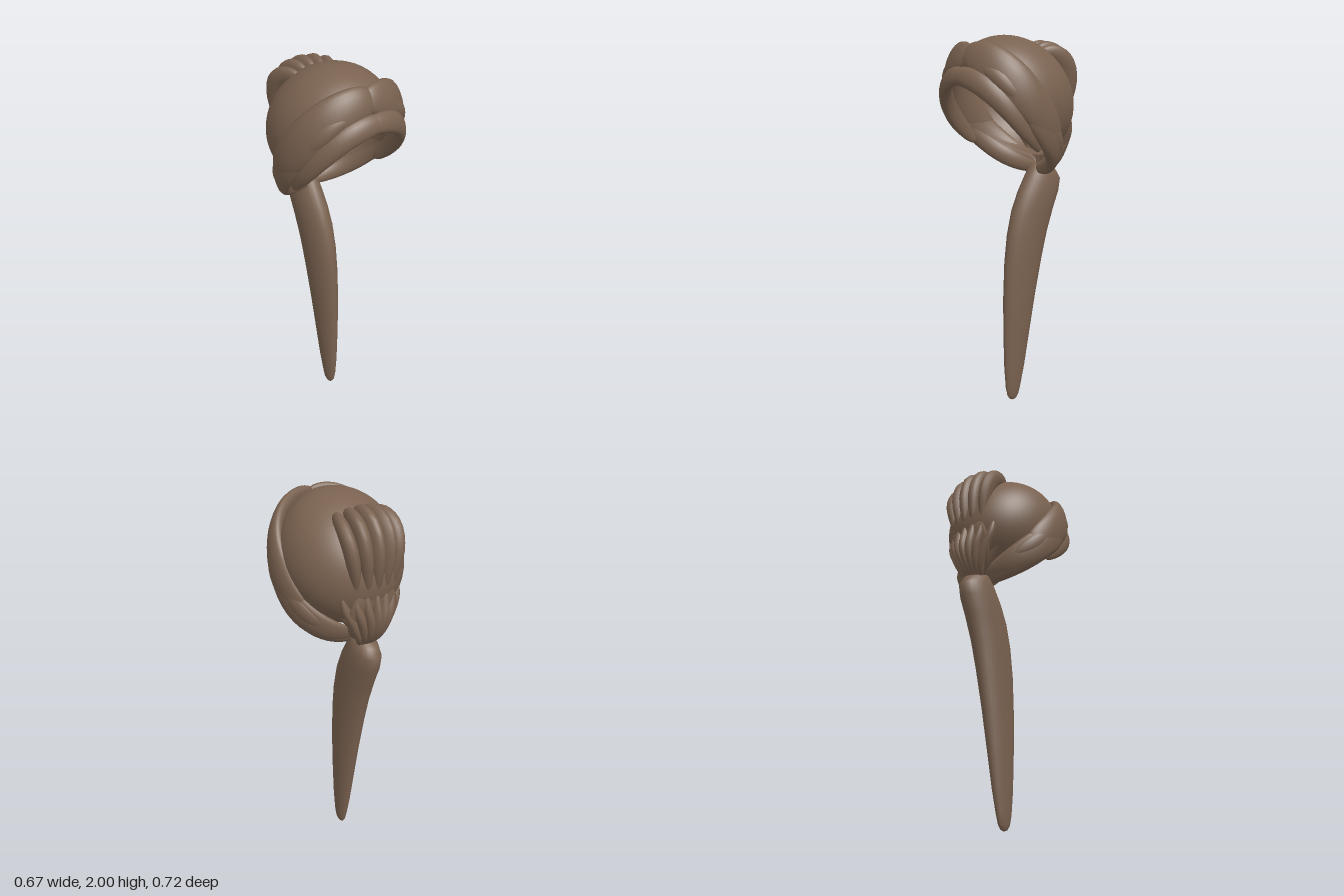
import * as THREE from 'three';

const V = (x, y, z) => new THREE.Vector3(x, y, z);
const CENTER = V(0, 1.68, 0.0);
const TILT = 0.69;                                   // backward lean of the cap axis
const UP = V(0, Math.cos(TILT), -Math.sin(TILT));    // cap axis
const FWD = V(0, Math.sin(TILT), Math.cos(TILT));    // cap front direction

// Closed loft through elliptical rings {c, a, b}: centre and two half-axis vectors
function loft(rings, sides = 14) {
  const pos = [], idx = [];
  for (const { c, a, b } of rings)
    for (let j = 0; j < sides; j++) {
      const t = (j / sides) * Math.PI * 2;
      const p = c.clone().addScaledVector(a, Math.cos(t)).addScaledVector(b, Math.sin(t));
      pos.push(p.x, p.y, p.z);
    }
  const m = Math.floor(rings.length / 2);
  const dir = rings[m + 1].c.clone().sub(rings[m - 1].c);
  const flip = rings[m].a.clone().cross(rings[m].b).dot(dir) < 0;
  const tri = (p, q, r) => (flip ? idx.push(p, r, q) : idx.push(p, q, r));
  for (let i = 0; i < rings.length - 1; i++)
    for (let j = 0; j < sides; j++) {
      const k = (j + 1) % sides, p = i * sides, q = p + sides;
      tri(p + j, p + k, q + k);
      tri(p + j, q + k, q + j);
    }
  const last = (rings.length - 1) * sides;
  for (let j = 1; j < sides - 1; j++) {
    tri(0, j + 1, j);
    tri(last, last + j, last + j + 1);
  }
  const g = new THREE.BufferGeometry();
  g.setAttribute('position', new THREE.Float32BufferAttribute(pos, 3));
  g.setIndex(idx);
  g.computeVertexNormals();
  return g;
}

// Rounded-end taper along 0..1; a small power gives blunt ends
const bulge = (s, power) => Math.pow(Math.max(0.0005, Math.sin(Math.PI * s)), power);

// Lock following a path, lying flat against the cap; start and end tapers may differ
function strand(points, width, thick, startPower, endPower = startPower) {
  const curve = new THREE.CatmullRomCurve3(points), rings = [], n = 24;
  for (let i = 0; i <= n; i++) {
    const s = (1 - Math.cos((Math.PI * i) / n)) / 2;
    const c = curve.getPoint(s), t = curve.getTangent(s);
    const out = c.clone().sub(CENTER);
    out.addScaledVector(t, -out.dot(t)).normalize();
    const k = bulge(s, s < 0.5 ? startPower : endPower);
    rings.push({ c, a: t.cross(out).normalize().multiplyScalar(width * k), b: out.multiplyScalar(thick * k) });
  }
  return loft(rings);
}

// Lock rolled around the cap rim, from angle p0 to p1 (0 = front, PI = back)
function rimLock(side, p0, p1, drop, out, width, thick, power) {
  const rings = [], n = 36;
  for (let i = 0; i <= n; i++) {
    const s = (1 - Math.cos((Math.PI * i) / n)) / 2, p = p0 + (p1 - p0) * s;
    const f = Math.cos(p), front = Math.max(0, f) ** 2;
    const r = 0.3 + 0.06 * f * f + out;
    const h = -0.095 + 0.035 * f + 0.04 * front - drop;
    const radial = V(side * Math.sin(p), 0, 0).addScaledVector(FWD, f);
    const c = CENTER.clone().addScaledVector(radial, r).addScaledVector(UP, h);
    const lean = 0.34 * f;
    const a = UP.clone().addScaledVector(radial, lean).normalize();
    const b = radial.clone().addScaledVector(UP, -lean).normalize();
    const k = bulge(s, power);
    rings.push({ c, a: a.multiplyScalar(width * k * (1 + 0.1 * front)), b: b.multiplyScalar(thick * k) });
  }
  return loft(rings, 18);
}

export function createModel() {
  const group = new THREE.Group();
  const hair = new THREE.MeshStandardMaterial({ color: 0x7a6250, side: THREE.DoubleSide });
  hair.name = 'brown hair';
  const add = (geometry, name) => {
    const mesh = new THREE.Mesh(geometry, hair);
    mesh.name = name;
    group.add(mesh);
    return mesh;
  };

  // Smooth open cap, tilted back and longest from front to nape
  const cap = add(new THREE.SphereGeometry(1, 48, 32, 0, Math.PI * 2, 0, 2.04), 'cap');
  cap.scale.set(0.305, 0.298, 0.349);
  cap.rotation.x = -TILT;
  cap.position.copy(CENTER);

  // Nape, closing the cap down to the tail
  add(strand([V(0, 1.64, -0.3), V(0, 1.53, -0.293), V(0, 1.42, -0.262), V(0, 1.3, -0.2)],
    0.14, 0.026, 0.4, 0.5), 'nape');

  // Rolled locks round the opening, mirrored: [name, start, end, drop, out, width, thickness, taper]
  const rolls = [
    ['FrontRoll', -0.06, 2.2, -0.005, -0.002, 0.098, 0.042, 0.24],
    ['LowerRoll', -0.35, 2.0, 0.1, -0.024, 0.055, 0.032, 0.35],
    ['SideRoll', 0.9, 3.1, 0.02, 0, 0.085, 0.034, 0.5],
    ['BackRoll', 1.3, 3.25, 0.05, 0, 0.055, 0.032, 0.5],
    ['UpperWisp', 0.45, 1.9, -0.04, -0.003, 0.05, 0.03, 0.7],
    ['OuterWisp', 0.25, 1.3, 0.03, 0.004, 0.045, 0.03, 0.7],
    ['NapeWisp', 1.5, 2.7, 0.0, 0.006, 0.05, 0.028, 0.7],
  ];
  for (const side of [1, -1])
    for (const [name, ...dims] of rolls)
      add(rimLock(side, ...dims), (side > 0 ? 'left' : 'right') + name);

  // Five crest locks over the back of the cap
  for (let i = -2; i <= 2; i++) {
    const x = i * 0.06, z = i * i * 0.006;
    add(strand([
      V(x * 0.78, 1.915 - z * 0.3, -0.115 + z * 0.6), V(x * 0.98, 1.93 - z, -0.19 + z * 0.5),
      V(x * 1.06, 1.888 - z, -0.265 + z), V(x, 1.78, -0.302 + z),
      V(x * 0.85, 1.66, -0.302 + z), V(x * 0.75, 1.54, -0.285 + z),
    ], 0.036, 0.056, 0.3, 0.6), 'crestLock');
  }

  // Gathered locks running down to the tail
  for (let i = -3; i <= 3; i++) {
    const x = i * 0.044, z = i * i * 0.006;
    add(strand([
      V(x * 1.2, 1.62, -0.3 + z), V(x * 1.1, 1.53, -0.312 + z), V(x * 0.8, 1.45, -0.318 + z),
      V(x * 0.5, 1.36, -0.285 + z * 0.5), V(x * 0.3, 1.29, -0.23),
    ], 0.025, 0.034, 0.65, 0.45), 'gatheredLock');
  }

  // Strands fanning up the inside of the cap
  for (let i = -5; i <= 5; i++) {
    const path = [V(i * 0.006, 1.33, -0.195)];
    for (const [y, k] of [[1.42, 0.4], [1.53, 0.8], [1.64, 1], [1.76, 0.95]]) {
      const x = i * 0.046 * k, d = y - CENTER.y;
      path.push(V(x, y, -Math.sqrt(0.082 - x * x - 0.5 * d * d)));
    }
    add(strand(path, 0.026, 0.02, 0.6), 'innerStrand');
  }

  // Long curved tail: [front y, front z, back y, back z, half width]
  const sections = [
    [1.335, -0.175, 1.335, -0.185, 0.006], [1.33, -0.145, 1.315, -0.235, 0.042], [1.3, -0.122, 1.285, -0.3, 0.062],
    [1.25, -0.092, 1.235, -0.332, 0.071], [1.18, -0.052, 1.17, -0.32, 0.076], [1.08, -0.008, 1.08, -0.283, 0.075],
    [0.95, 0.024, 0.95, -0.238, 0.071], [0.8, 0.043, 0.8, -0.2, 0.065], [0.6, 0.053, 0.6, -0.157, 0.056],
    [0.4, 0.054, 0.4, -0.12, 0.046], [0.2, 0.05, 0.2, -0.084, 0.035], [0.08, 0.041, 0.08, -0.057, 0.026],
    [0.03, 0.03, 0.03, -0.043, 0.02], [0.008, 0.014, 0.008, -0.028, 0.012], [0, -0.004, 0, -0.01, 0.002],
  ];
  add(loft(sections.map(([fy, fz, by, bz, w]) => ({
    c: V(0, (fy + by) / 2, (fz + bz) / 2), a: V(w, 0, 0), b: V(0, (fy - by) / 2, (fz - bz) / 2),
  })), 28), 'tail');

  return group;
}
